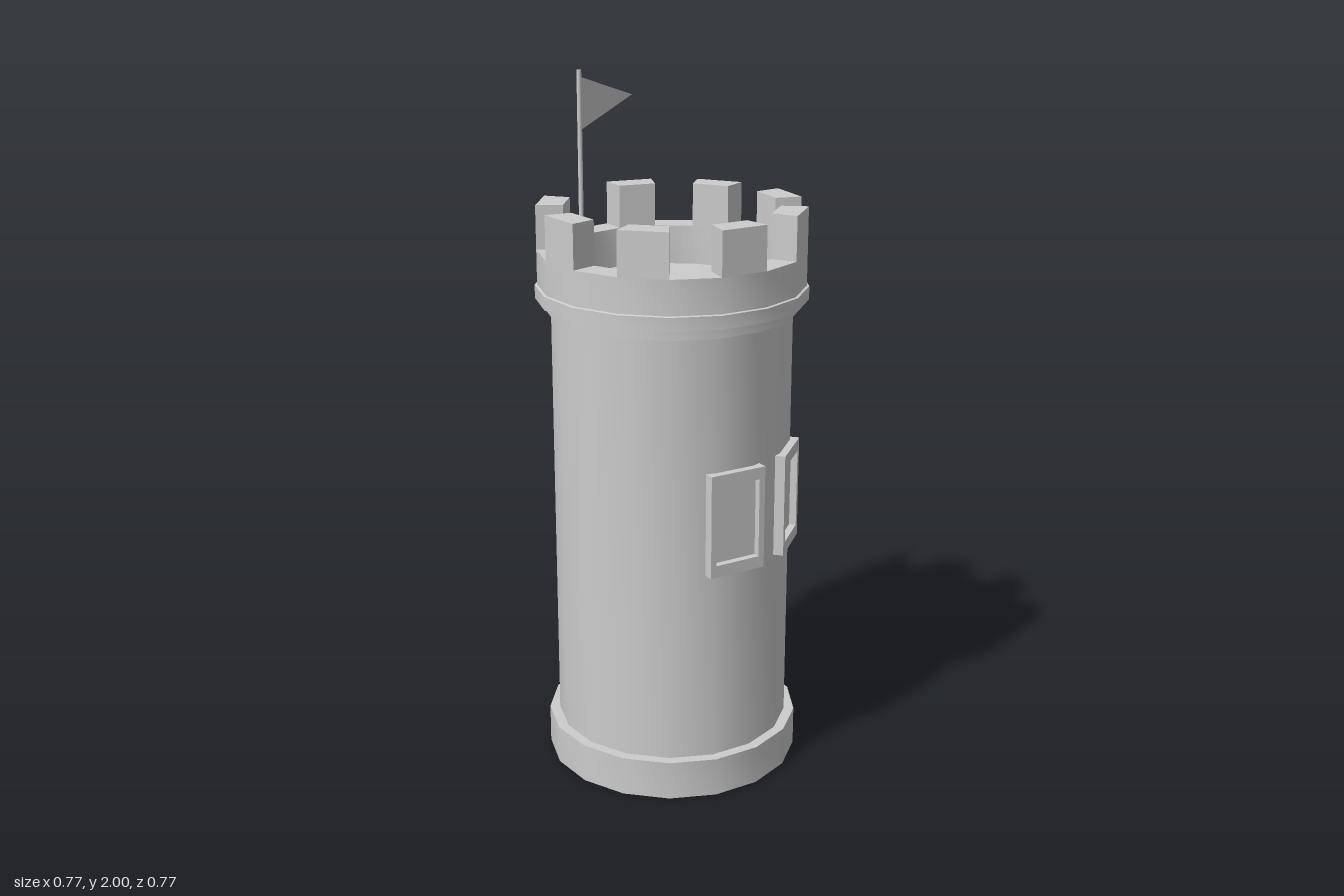
import * as THREE from 'three';
import { toCreasedNormals } from 'three/addons/utils/BufferGeometryUtils.js';

const SIDES = 17;
const STEP = (Math.PI * 2) / SIDES;
const START = Math.PI - 0.012; // one corner points to the back

const grey = new THREE.MeshStandardMaterial({ color: 0xcccccc });
const greyDouble = new THREE.MeshStandardMaterial({ color: 0xcccccc, side: THREE.DoubleSide });

function add(parent, name, geometry, material = grey) {
  const mesh = new THREE.Mesh(geometry, material);
  mesh.name = name;
  parent.add(mesh);
  return mesh;
}

// Seventeen-sided ring of wall from a [radius, height] profile, smooth around, sharp at ledges
function ring(profile) {
  const points = profile.map(([r, y]) => new THREE.Vector2(r, y));
  return toCreasedNormals(new THREE.LatheGeometry(points, SIDES, START), 0.6);
}

// Block that fills one side of the parapet
function merlonGeometry(index, inner, outer, y0, y1) {
  const a = START + index * STEP;
  const b = a + STEP;
  const corner = (r, t) => new THREE.Vector2(r * Math.sin(t), -r * Math.cos(t));
  const shape = new THREE.Shape([corner(inner, a), corner(outer, a), corner(outer, b), corner(inner, b)]);
  const geometry = new THREE.ExtrudeGeometry(shape, { depth: y1 - y0, bevelEnabled: false });
  return geometry.rotateX(-Math.PI / 2).translate(0, y0, 0);
}

function rectangle(Type, w, h) {
  return new Type([
    new THREE.Vector2(-w / 2, -h / 2), new THREE.Vector2(w / 2, -h / 2),
    new THREE.Vector2(w / 2, h / 2), new THREE.Vector2(-w / 2, h / 2),
  ]);
}

// Framed window lying flat on one side of the shaft
function createWindow(angle) {
  const group = new THREE.Group();
  group.name = 'window';
  const shape = rectangle(THREE.Shape, 0.174, 0.3);
  shape.holes.push(rectangle(THREE.Path, 0.138, 0.23));
  const frame = new THREE.ExtrudeGeometry(shape, { depth: 0.029, bevelEnabled: false });
  add(group, 'windowFrame', frame.translate(0, 0, 0.329));
  add(group, 'windowPane', new THREE.PlaneGeometry(0.138, 0.23).translate(0, 0, 0.338));
  group.position.y = 0.83;
  group.rotation.y = angle;
  return group;
}

export function createModel() {
  const tower = new THREE.Group();
  tower.name = 'tower';

  // Hollow foot and shaft, open underneath
  add(tower, 'foot', ring([[0.372, 0], [0.372, 0.115], [0.342, 0.115]]), greyDouble);
  add(tower, 'shaft', ring([[0.342, 0.115], [0.342, 1.365]]), greyDouble);

  // Stepped moulding, parapet wall and the floor inside it
  add(tower, 'moulding', ring([
    [0.342, 1.365], [0.359, 1.365], [0.359, 1.397], [0.386, 1.397], [0.386, 1.435], [0.379, 1.437],
  ]), greyDouble);
  add(tower, 'parapet', ring([
    [0.379, 1.437], [0.379, 1.535], [0.302, 1.535], [0.302, 1.42],
  ]), greyDouble);
  add(tower, 'floor', ring([[0.302, 1.42], [0, 1.42]]), greyDouble);

  // Eight merlons on every other side, leaving a double gap at the back
  const merlons = new THREE.Group();
  merlons.name = 'merlons';
  tower.add(merlons);
  for (let i = 1; i < SIDES - 1; i += 2) {
    add(merlons, 'merlon', merlonGeometry(i, 0.302, 0.379, 1.535, 1.66));
  }

  // Two windows, on the sides next to the front one
  for (const i of [7, 9]) {
    tower.add(createWindow(START + (i + 0.5) * STEP));
  }

  // Flagpole and pennant on the back wall
  add(tower, 'flagpole', new THREE.CylinderGeometry(0.007, 0.007, 0.465, 12)
    .translate(0.004, 1.7675, -0.335));
  const pennant = new THREE.BufferGeometry();
  pennant.setAttribute('position', new THREE.Float32BufferAttribute(
    [0.008, 1.83, -0.334, 0.248, 1.905, -0.339, 0.008, 1.98, -0.334], 3));
  pennant.computeVertexNormals();
  add(tower, 'pennant', pennant, greyDouble);

  return tower;
}
